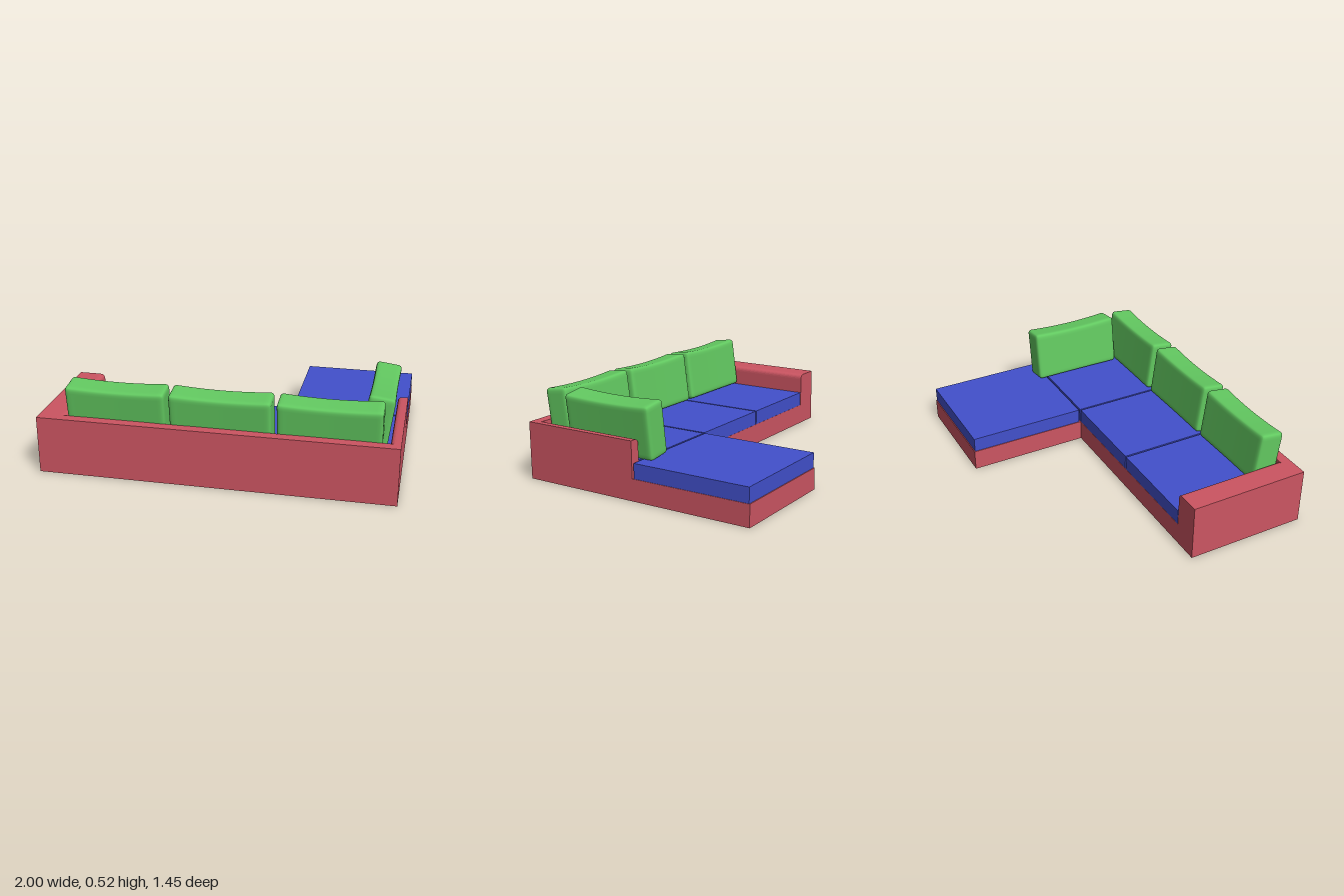
import * as THREE from 'three';
import { mergeVertices } from 'three/addons/utils/BufferGeometryUtils.js';

const red = new THREE.MeshStandardMaterial({ color: 0xcc5562 });
const blue = new THREE.MeshStandardMaterial({ color: 0x4250cc });
const green = new THREE.MeshStandardMaterial({ color: 0x62c860 });

const BASE = 0.124, SEAT = 0.21, TOP = 0.33;
const LEFT = 0.993, RIGHT = -1, BACK = 0.71, INNER = 0.65;

function add(parent, name, geometry, material) {
  const mesh = new THREE.Mesh(geometry, material);
  mesh.name = name;
  parent.add(mesh);
  return mesh;
}

// Box given by its extents on each axis
function block(parent, name, material, [x0, x1], [y0, y1], [z0, z1]) {
  const mesh = add(parent, name, new THREE.BoxGeometry(x1 - x0, y1 - y0, z1 - z0), material);
  mesh.position.set((x0 + x1) / 2, (y0 + y1) / 2, (z0 + z1) / 2);
  return mesh;
}

// Armrest: upright profile with its inner top edge rounded, extruded along z
function armrest(parent, name, outer, inner) {
  const r = 0.03, s = Math.sign(inner - outer);
  const shape = new THREE.Shape();
  shape.moveTo(outer, BASE);
  shape.lineTo(inner, BASE);
  shape.lineTo(inner, TOP - r);
  shape.quadraticCurveTo(inner, TOP, inner - s * r, TOP);
  shape.lineTo(outer, TOP);
  add(parent, name, new THREE.ExtrudeGeometry(shape, { depth: INNER, bevelEnabled: false, curveSegments: 6 }), red);
}

// Soft pillow standing on y = 0: rounded box whose top sags in the middle
function pillowGeometry(w, h, d, r = 0.022) {
  const half = new THREE.Vector3(w / 2, h / 2, d / 2);
  const core = half.clone().subScalar(r);
  let g = new THREE.BoxGeometry(2, 2, 2, 24, 18, 14);
  g.deleteAttribute('uv');
  g.deleteAttribute('normal');
  g = mergeVertices(g);
  const pos = g.attributes.position, p = new THREE.Vector3(), q = new THREE.Vector3();
  for (let i = 0; i < pos.count; i++) {
    p.fromBufferAttribute(pos, i);
    // crowd the grid towards the edges, then round them
    p.set(...p.toArray().map((v) => Math.sin(v * Math.PI / 2))).multiply(half);
    q.copy(p).clamp(core.clone().negate(), core);
    p.sub(q).setLength(r).add(q);
    const middle = 1 - (p.x / half.x) ** 2;
    p.y -= 0.012 * middle * Math.max(0, p.y / half.y);
    p.z *= 1 - 0.05 * middle;
    pos.setXYZ(i, p.x, p.y + half.y, p.z);
  }
  g.computeVertexNormals();
  return g;
}

export function createModel() {
  const sofa = new THREE.Group();
  sofa.name = 'cornerSofa';

  // L-shaped base
  const outline = new THREE.Shape([
    [RIGHT, 0], [0.318, 0], [0.318, 0.717], [LEFT, 0.717], [LEFT, -BACK], [RIGHT, -BACK],
  ].map(([x, y]) => new THREE.Vector2(x, y)));
  const base = add(sofa, 'base', new THREE.ExtrudeGeometry(outline, { depth: BASE, bevelEnabled: false }), red);
  base.rotation.x = -Math.PI / 2;

  // Backrest and armrests
  block(sofa, 'backrest', red, [RIGHT, LEFT], [BASE, TOP], [INNER, BACK]);
  armrest(sofa, 'rightArmrest', RIGHT, -0.847);
  armrest(sofa, 'leftArmrest', LEFT, 0.935);

  // Seat cushions
  [[-0.842, -0.267], [-0.257, 0.315], [0.325, 0.933]].forEach((span, i) =>
    block(sofa, `seatCushion${i + 1}`, blue, span, [BASE, SEAT], [0.001, 0.645]));
  block(sofa, 'chaiseCushion', blue, [0.322, 0.99], [BASE, SEAT], [-0.712, -0.01]);

  // Pillows leaning on the backrest and on the left armrest
  const pillow = pillowGeometry(0.56, 0.308, 0.147);
  [-0.56, 0.024, 0.614].forEach((x, i) => {
    const back = add(sofa, `backPillow${i + 1}`, pillow, green);
    back.position.set(x, SEAT, 0.563);
    back.rotation.x = 0.13;
  });
  const side = add(sofa, 'sidePillow', pillow, green);
  side.position.set(0.834, SEAT, 0.212);
  side.rotation.set(0.13, Math.PI / 2, 0, 'YXZ');

  // The sofa stands very slightly turned
  sofa.rotation.y = 0.01;
  const model = new THREE.Group();
  model.name = 'sofa';
  model.add(sofa);
  return model;
}
